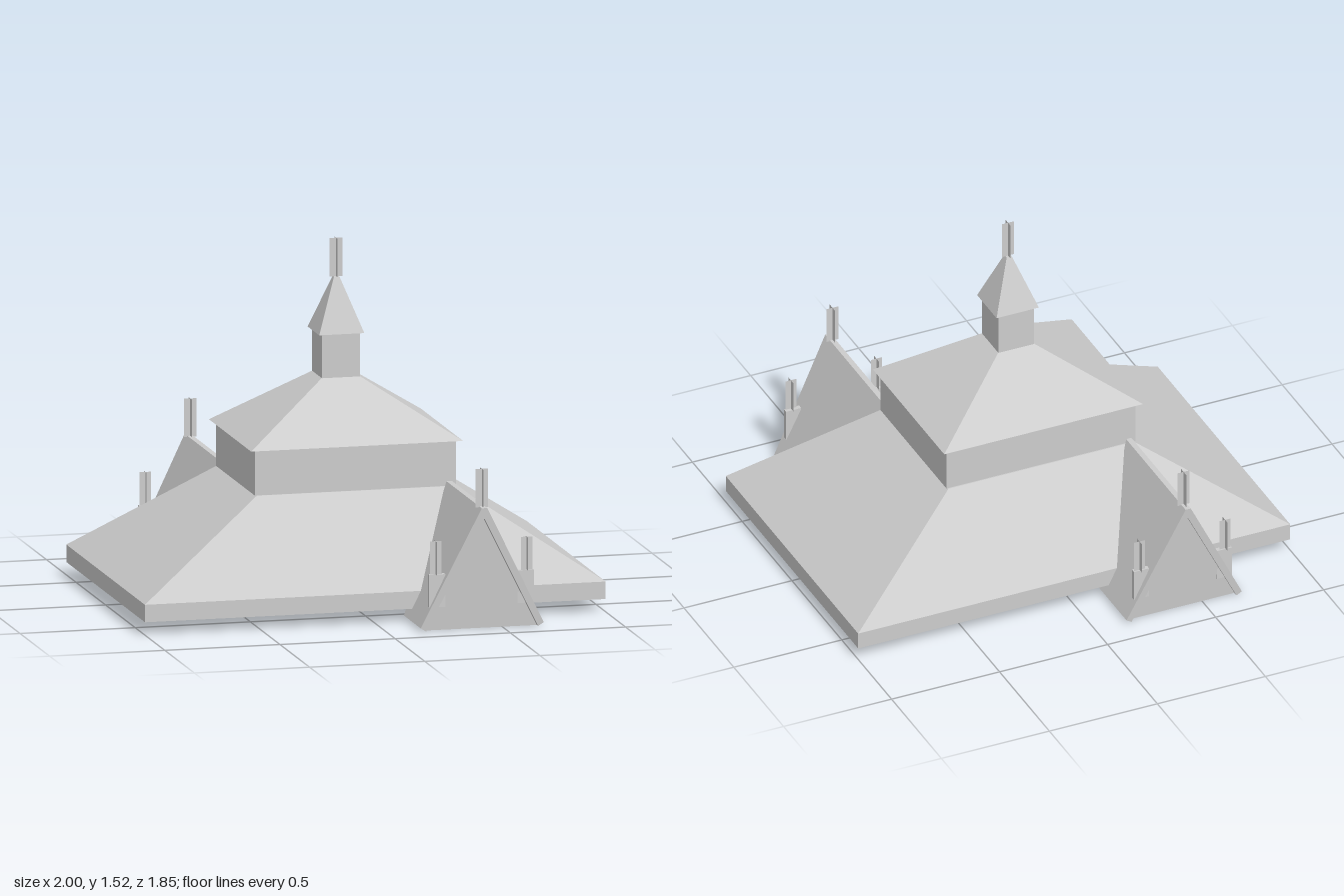
import * as THREE from 'three';

const grey = new THREE.MeshStandardMaterial({ color: 0xcccccc });
const greySheet = new THREE.MeshStandardMaterial({ color: 0xcccccc, side: THREE.DoubleSide });
greySheet.name = 'grey sheet';
grey.name = 'grey';

function add(parent, name, geometry, material = grey) {
  const mesh = new THREE.Mesh(geometry, material);
  mesh.name = name;
  parent.add(mesh);
  return mesh;
}

// Four-sided block between two heights; half sizes [x, z] at bottom and top
function taper(y0, y1, [x0, z0], [x1, z1]) {
  const g = new THREE.BoxGeometry(2, 2, 2);
  const p = g.attributes.position;
  for (let i = 0; i < p.count; i++) {
    const top = p.getY(i) > 0;
    p.setXYZ(i, p.getX(i) * (top ? x1 : x0), top ? y1 : y0, p.getZ(i) * (top ? z1 : z0));
  }
  g.computeVertexNormals();
  return g;
}

// Finial of two crossed thin sheets
function addFinial(parent, name, x, y0, y1, z, width = 0.055) {
  const finial = new THREE.Group();
  finial.name = name;
  finial.position.set(x, (y0 + y1) / 2, z);
  for (const turn of [0, Math.PI / 2]) {
    add(finial, 'finialSheet', new THREE.PlaneGeometry(width, y1 - y0), greySheet).rotation.y = turn;
  }
  parent.add(finial);
}

const RIDGE = 0.525;
const frontZ = y => 0.885 + 0.042 * y / RIDGE; // gable leans outward
const backZ = y => 0.61 - 0.28 * y / RIDGE;

function makeDormer(name) {
  const dormer = new THREE.Group();
  dormer.name = name;

  // Steep roof: an upside-down V section, cut obliquely at both ends
  const section = new THREE.Shape([
    [0.012, RIDGE], [-0.012, RIDGE], [-0.267, 0.015], [-0.243, 0],
    [0, 0.48], [0.243, 0], [0.267, 0.015],
  ].map(([x, y]) => new THREE.Vector2(x, y)));
  const roof = new THREE.ExtrudeGeometry(section, { depth: 1, bevelEnabled: false });
  const p = roof.attributes.position;
  for (let i = 0; i < p.count; i++) {
    const y = p.getY(i);
    p.setZ(i, p.getZ(i) > 0.5 ? frontZ(y) : backZ(y));
  }
  roof.computeVertexNormals();
  add(dormer, 'dormerRoof', roof);

  // Recessed gable wall
  const wall = new THREE.ShapeGeometry(new THREE.Shape([
    new THREE.Vector2(-0.243, 0), new THREE.Vector2(0.243, 0), new THREE.Vector2(0, 0.48),
  ]));
  const w = wall.attributes.position;
  for (let i = 0; i < w.count; i++) w.setZ(i, frontZ(w.getY(i)) - 0.022);
  wall.computeVertexNormals();
  add(dormer, 'gableWall', wall, greySheet);

  // Ridge finial, and a post with a finial on each slope
  addFinial(dormer, 'ridgeFinial', 0, 0.52, 0.685, 0.88);
  for (const side of [-1, 1]) {
    const post = add(dormer, 'slopePost', new THREE.BoxGeometry(0.07, 0.14, 0.022));
    post.position.set(side * 0.192, 0.17, 0.864);
    addFinial(dormer, 'slopeFinial', side * 0.198, 0.24, 0.382, 0.868, 0.05);
  }
  return dormer;
}

export function createModel() {
  const model = new THREE.Group();
  model.name = 'tieredRoof';

  // Central tiers, from the ground up
  add(model, 'eaveSlab', taper(0.055, 0.13, [1, 0.665], [1, 0.665]));
  add(model, 'lowerRoof', taper(0.13, 0.505, [1, 0.665], [0.43, 0.335]));
  add(model, 'upperWall', taper(0.505, 0.7, [0.437, 0.33], [0.437, 0.33]));
  add(model, 'upperRoof', taper(0.7, 0.945, [0.46, 0.358], [0.08, 0.08]));
  add(model, 'turret', taper(0.94, 1.13, [0.083, 0.083], [0.083, 0.083]));
  add(model, 'spire', taper(1.13, 1.36, [0.098, 0.098], [0.012, 0.012]));
  addFinial(model, 'spireFinial', 0, 1.36, 1.525, 0);

  // Two dormers, half a turn apart
  const front = makeDormer('frontDormer');
  front.position.x = 0.407;
  const back = makeDormer('backDormer');
  back.position.x = -0.407;
  back.rotation.y = Math.PI;
  model.add(front, back);

  return model;
}
